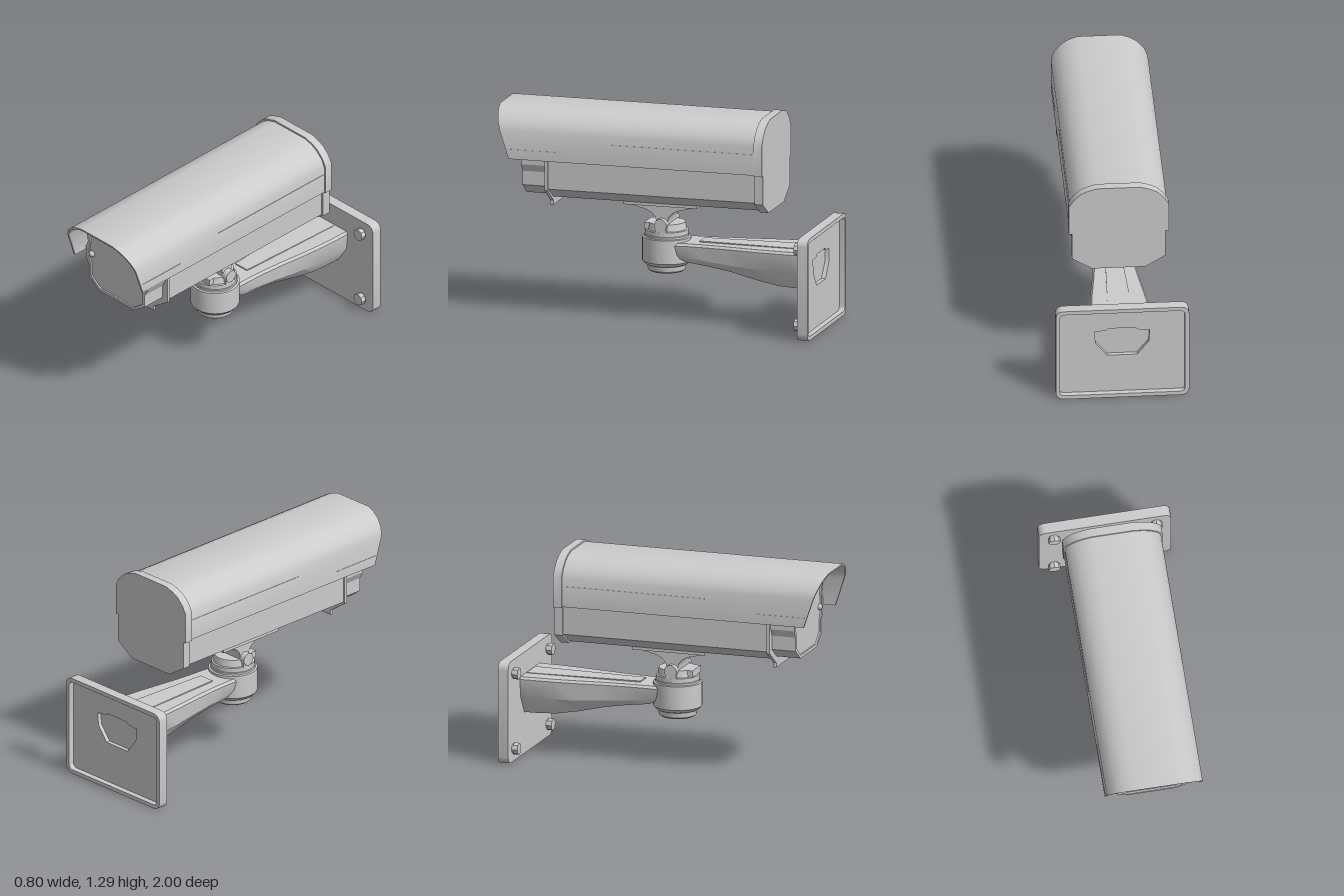
import * as THREE from 'three';
import { toCreasedNormals, mergeVertices } from 'three/addons/utils/BufferGeometryUtils.js';

const material = new THREE.MeshStandardMaterial({ color: 0xcccccc });

function add(parent, name, geometry, x = 0, y = 0, z = 0) {
  const mesh = new THREE.Mesh(geometry, material);
  mesh.name = name;
  mesh.position.set(x, y, z);
  parent.add(mesh);
  return mesh;
}

// Full outline from its right half, listed bottom to top
const mirrored = (half) => [...half, ...half.map(([x, y]) => [-x, y]).reverse()];
const toPoints = (list) => list.map(([x, y]) => new THREE.Vector2(x, y));

function slab(outline, z0, z1, hole, crease = 0.75) {
  const shape = new THREE.Shape(toPoints(outline));
  if (hole) shape.holes.push(new THREE.Path(toPoints(hole)));
  const g = new THREE.ExtrudeGeometry(shape, { depth: z1 - z0, bevelEnabled: false });
  return toCreasedNormals(g.translate(0, 0, z0), crease);
}

function roundedRect(hw, y0, y1, r) {
  const pts = [];
  const corners = [[hw - r, y0 + r, -90], [hw - r, y1 - r, 0], [r - hw, y1 - r, 90], [r - hw, y0 + r, 180]];
  for (const [cx, cy, start] of corners) {
    for (let i = 0; i <= 4; i++) {
      const a = THREE.MathUtils.degToRad(start + i * 22.5);
      pts.push([cx + r * Math.cos(a), cy + r * Math.sin(a)]);
    }
  }
  return pts;
}

// Skin over counter-clockwise rings, ordered from back to front
function loft(rings) {
  const n = rings[0].length;
  const index = [];
  for (let r = 0; r < rings.length - 1; r++) {
    for (let i = 0; i < n; i++) {
      const a = r * n + i, b = r * n + (i + 1) % n;
      index.push(a, b, b + n, a, b + n, a + n);
    }
  }
  const last = (rings.length - 1) * n;
  for (let i = 1; i < n - 1; i++) index.push(0, i + 1, i, last, last + i, last + i + 1);
  const g = new THREE.BufferGeometry();
  g.setAttribute('position', new THREE.Float32BufferAttribute(rings.flat(2), 3));
  g.setIndex(index);
  return toCreasedNormals(g, 0.5);
}

function createWallMount() {
  const group = new THREE.Group();
  group.name = 'wallMount';
  const plate = roundedRect(0.4, 0, 0.625, 0.045);
  const opening = mirrored([[0.09, 0.28], [0.16, 0.37], [0.165, 0.45], [0.1, 0.455], [0.08, 0.47]]);
  add(group, 'plateFace', slab(plate, -0.965, -0.935, opening));
  add(group, 'plateRim', slab(plate, -1, -0.965, roundedRect(0.375, 0.025, 0.6, 0.025)));

  // Hex-like bolt heads on short washers
  for (const x of [-0.31, 0.31]) for (const y of [0.08, 0.545]) {
    const washer = new THREE.CylinderGeometry(0.028, 0.028, 0.02, 16).rotateX(Math.PI / 2);
    const head = new THREE.CylinderGeometry(0.037, 0.037, 0.03, 8).rotateX(Math.PI / 2);
    add(group, 'boltWasher', washer, x, y, -0.93);
    add(group, 'boltHead', toCreasedNormals(head, 0.4), x, y, -0.911);
  }

  // Arm: back to front [z, half width, top, shoulder, bottom, bottom half width]
  const sections = [
    [-0.94, 0.185, 0.49, 0.365, 0.255, 0.105], [-0.83, 0.183, 0.49, 0.365, 0.256, 0.103],
    [-0.73, 0.178, 0.489, 0.365, 0.262, 0.1], [-0.6, 0.165, 0.488, 0.365, 0.285, 0.095],
    [-0.42, 0.142, 0.487, 0.375, 0.327, 0.09], [-0.28, 0.128, 0.486, 0.385, 0.35, 0.09],
    [-0.15, 0.122, 0.485, 0.4, 0.368, 0.095], [-0.08, 0.12, 0.482, 0.415, 0.4, 0.1],
  ];
  const rings = sections.map(([z, w, top, mid, low, lw]) =>
    mirrored([[lw, low], [w - 0.01, mid], [w, top - 0.015], [w - 0.012, top]]).map(([x, y]) => [x, y, z]));
  add(group, 'arm', loft(rings));

  // Shallow tapering panel on top of the arm
  const panel = [[-0.93, 0.08], [-0.22, 0.05]].map(([z, w]) =>
    [[w, 0.48], [w, 0.493], [-w, 0.493], [-w, 0.48]].map(([x, y]) => [x, y, z]));
  add(group, 'armPanel', loft(panel));
  return group;
}

function createJoint() {
  const group = new THREE.Group();
  group.name = 'swivelJoint';
  const profile = [
    [0, 0.29], [0.1, 0.29], [0.113, 0.3], [0.117, 0.33], [0.13, 0.335], [0.147, 0.355],
    [0.147, 0.5], [0.135, 0.503], [0.135, 0.515], [0.13, 0.518], [0.13, 0.545],
    [0.12, 0.548], [0.112, 0.59], [0, 0.59],
  ];
  add(group, 'swivelBody', toCreasedNormals(new THREE.LatheGeometry(toPoints(profile), 40), 0.5));
  add(group, 'frontStop', new THREE.BoxGeometry(0.15, 0.04, 0.05), 0, 0.57, 0.095);

  // Tilt pivot with its two ears
  add(group, 'pivotPin', new THREE.CylinderGeometry(0.034, 0.034, 0.22, 24).rotateZ(Math.PI / 2), 0, 0.59, 0);
  for (const side of [-1, 1]) {
    const ear = new THREE.CylinderGeometry(0.039, 0.039, 0.035, 24).rotateZ(Math.PI / 2);
    add(group, 'pivotEar', ear, side * 0.118, 0.59, 0);
    add(group, 'earFoot', new THREE.BoxGeometry(0.03, 0.05, 0.07), side * 0.114, 0.57, 0);
  }

  // Flared neck, drawn from the side and turned to span x
  const flare = mirrored([[0.036, 0.57], [0.036, 0.61], [0.042, 0.635], [0.065, 0.66],
    [0.1, 0.678], [0.15, 0.69], [0.195, 0.703], [0.205, 0.718]]);
  add(group, 'neck', slab(flare, -0.1, 0.1).rotateY(Math.PI / 2));
  add(group, 'bracketPlate', new THREE.BoxGeometry(0.32, 0.022, 0.46), 0, 0.725, -0.005);
  return group;
}

function createHousing() {
  const group = new THREE.Group();
  group.name = 'housing';

  const body = mirrored([[0.16, 0.732], [0.268, 0.8], [0.268, 1.14], [0.21, 1.215], [0.12, 1.255]]);
  add(group, 'body', slab(body, -0.64, 0.66, null, 0.3));
  const flange = mirrored([[0.16, 0.68], [0.16, 0.71], [0.278, 0.792], [0.278, 1.15], [0.218, 1.228], [0.125, 1.265]]);
  add(group, 'frontFlange', slab(flange, 0.66, 0.68, null, 0.3));

  // Front bezel, bulging around its two screws, with a recessed window
  const bezel = [[0.145, 0.745], [0.165, 0.757], [0.237, 0.81], [0.237, 0.895], [0.262, 0.94], [0.262, 1.01],
    [0.244, 1.06], [0.262, 1.15], [0.25, 1.172], [0.14, 1.215]];
  const window_ = [[0.14, 0.765], [0.155, 0.772], [0.217, 0.822], [0.217, 0.9], [0.235, 0.945], [0.235, 1.005],
    [0.225, 1.06], [0.242, 1.14], [0.235, 1.155], [0.135, 1.198]];
  add(group, 'bezel', slab(mirrored(bezel), 0.67, 0.83, mirrored(window_), 0.3));
  add(group, 'window', slab(mirrored(window_), 0.67, 0.82));
  for (const side of [-1, 1]) {
    const screw = new THREE.SphereGeometry(0.02, 16, 10);
    add(group, 'bezelScrew', screw, side * 0.217, 0.975, 0.82);
  }

  // Sun hood: open shell whose front edge slants with height
  const outer = [[0.294, 0.975], [0.291, 1.15], [0.27, 1.195], [0.227, 1.238], [0.185, 1.261], [0.13, 1.278]];
  const inner = [[0.281, 0.975], [0.278, 1.147], [0.258, 1.188], [0.219, 1.227], [0.18, 1.249], [0.128, 1.265]];
  const left = (p) => p.map(([x, y]) => [-x, y]);
  const outline = [...outer, ...left(outer).reverse(), ...left(inner), ...[...inner].reverse()];
  const hood = slab(outline, -0.64, 0.9);
  const p = hood.attributes.position;
  for (let i = 0; i < p.count; i++) {
    if (p.getZ(i) > 0) p.setZ(i, 0.9 + (p.getY(i) - 0.975) * 0.33);
  }
  add(group, 'sunHood', toCreasedNormals(mergeVertices(hood.deleteAttribute('normal').deleteAttribute('uv')), 0.75));

  // Fine seams along the hood sides
  for (const side of [-1, 1]) {
    add(group, 'rearSeam', new THREE.BoxGeometry(0.006, 0.005, 0.9), side * 0.291, 1.1, -0.18);
    add(group, 'frontSeam', new THREE.BoxGeometry(0.006, 0.005, 0.32), side * 0.292, 1.033, 0.745);
  }

  // Rear cap: wide over the hood, narrower below
  const capTop = mirrored([[0.3, 0.97], [0.3, 1.16], [0.275, 1.205], [0.23, 1.25], [0.19, 1.27], [0.13, 1.288]]);
  const capLow = mirrored([[0.16, 0.72], [0.28, 0.795], [0.28, 0.98]]);
  add(group, 'rearCapTop', slab(capTop, -0.685, -0.632));
  add(group, 'rearCapBottom', slab(capLow, -0.685, -0.632, null, 0.3));
  return group;
}

export function createModel() {
  const model = new THREE.Group();
  model.name = 'securityCamera';
  model.add(createWallMount(), createJoint(), createHousing());
  return model;
}
